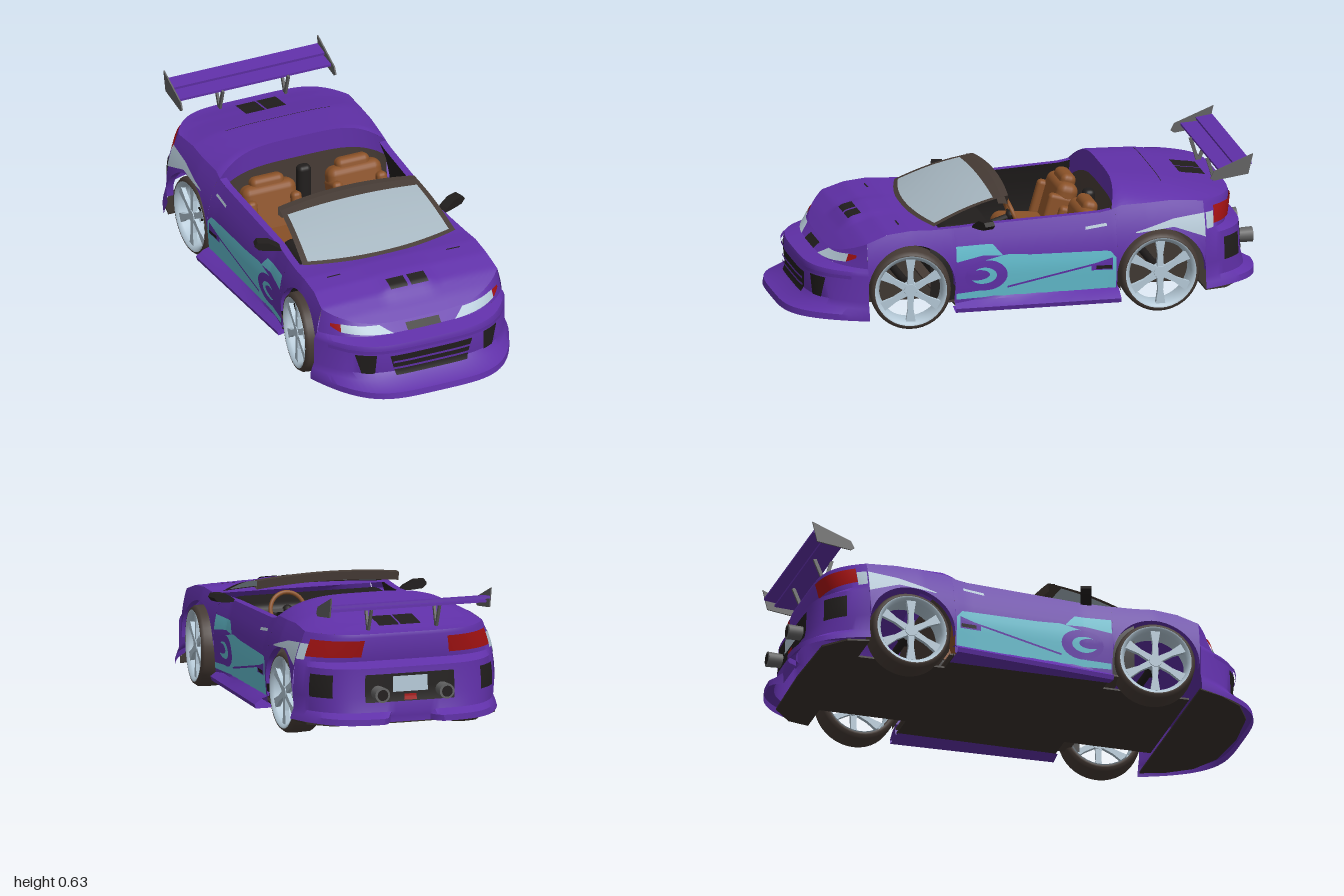
import * as THREE from 'three';
import { toCreasedNormals } from 'three/addons/utils/BufferGeometryUtils.js';
import { RoundedBoxGeometry } from 'three/addons/geometries/RoundedBoxGeometry.js';

const paint = (name, color) => new THREE.MeshStandardMaterial({ name, color, side: THREE.DoubleSide });
const lerp = THREE.MathUtils.lerp;
const points = list => list.map(p => new THREE.Vector2(...p));

// Linear lookup in a table of [t, value], t ascending
function tab(p, t) {
  if (t <= p[0][0]) return p[0][1];
  for (let i = 1; i < p.length; i++) {
    if (t <= p[i][0]) return lerp(p[i - 1][1], p[i][1], (t - p[i - 1][0]) / (p[i][0] - p[i - 1][0]));
  }
  return p[p.length - 1][1];
}

// Body rules: half width, shoulder height and side curve
const ARCH = 0.185, AXLE_Y = 0.17, FRONT = 0.505, REAR = -0.545;
const widths = [[-0.73, 0.44], [-0.5, 0.438], [-0.3, 0.42], [0.2, 0.402], [0.5, 0.425], [0.69, 0.42]];
const shoulders = [[-0.73, 0.455], [-0.6, 0.465], [-0.385, 0.455], [-0.345, 0.44], [-0.3, 0.432], [0, 0.42], [0.3, 0.408],
  [0.42, 0.408], [0.5, 0.413], [0.6, 0.403], [0.69, 0.372], [0.75, 0.333], [0.8, 0.293], [0.82, 0.28]];
const upper = z => tab(shoulders, z);
const sideX = (z, y) => tab(widths, z) - Math.max(0, y - 0.22) ** 2 - 0.08 * Math.max(0, 0.22 - y);
const edge = z => sideX(z, upper(z));
const spread = u => Math.sin((u - 0.5) * Math.PI);

// Bumper rules: half width and centre depth by height
const noseW = [[0.055, 0.447], [0.08, 0.447], [0.105, 0.44], [0.13, 0.43], [0.24, 0.43], [0.255, 0.425], [0.27, 0.415]];
const noseZ = [[0.055, 1], [0.08, 0.995], [0.105, 0.92], [0.13, 0.9], [0.24, 0.91], [0.255, 0.905], [0.27, 0.835]];
const tailZ = [[0.095, -0.99], [0.12, -0.99], [0.14, -0.945], [0.2, -0.93], [0.32, -0.925], [0.34, -0.865], [0.44, -0.885], [0.455, -0.88]];
const nose = (u, y) => [u * tab(noseW, y), y, 0.69 + (tab(noseZ, y) - 0.69) * (1 - Math.abs(u) ** 4)];
const tail = (u, y) => {
  const notch = tab([[0.2, 0.05], [0.26, 0]], Math.abs(u)) * tab([[0.12, 1], [0.14, 0]], y);
  return [u * (sideX(-0.73, y) + tab([[0.1, 0.02], [0.14, 0]], y)), y,
    -0.73 + (tab(tailZ, y) + 0.73) * (1 - Math.abs(u) ** 5) + notch];
};
const hoodY = (x, z) => {
  const u = Math.min(1, Math.abs(x) / edge(z));
  const scoop = tab([[0.09, 1], [0.13, 0]], Math.abs(x)) * tab([[0.44, 0], [0.6, 0.4], [0.68, 1], [0.74, 0]], z);
  return upper(z) + tab([[0.4, 0], [0.6, 0.008]], z) * (1 - u * u) + 0.014 * scoop;
};
const crown = [[-0.88, 0], [-0.78, 0.022], [-0.6, 0.045], [-0.385, 0.075]];
const deckY = (x, z) => upper(z) + tab(crown, z) * (1 - Math.min(1, Math.abs(x) / edge(z)) ** 4);
const deckFront = u => -0.345 - 0.04 * (1 - u ** 4);

export function createModel() {
  const car = new THREE.Group();
  car.name = 'convertible';
  const purple = paint('purple paint', 0x6030a8), teal = paint('teal paint', 0x62bccd);
  const black = paint('black trim', 0x211e1d), brown = paint('dark rubber', 0x463b35), under = paint('underbody', 0x38312c);
  const tan = paint('tan leather', 0x8b5228), red = paint('red lens', 0xa31212);
  const gray = paint('grey metal', 0x626262), silver = paint('silver', 0xb4c8d6), glass = paint('glass', 0xa6b6c0);

  const add = (name, geo, mat, pos = [0, 0, 0], rot = [0, 0, 0], parent = car) => {
    const m = new THREE.Mesh(geo, mat);
    m.name = name;
    m.position.set(...pos);
    m.rotation.set(...rot);
    parent.add(m);
    return m;
  };
  const box = (name, mat, size, pos, rot) => add(name, new THREE.BoxGeometry(...size), mat, pos, rot);
  const soft = (name, mat, size, pos, rot) =>
    add(name, new RoundedBoxGeometry(...size, 3, Math.min(...size) * 0.4), mat, pos, rot);
  const slab = (list, depth) => new THREE.ExtrudeGeometry(new THREE.Shape(points(list)), { depth, bevelEnabled: false });
  // Surface from a rule fn(u, v) -> [x, y, z]
  const grid = (name, mat, fn, nu = 8, nv = 4) => {
    const p = [], idx = [];
    for (let j = 0; j <= nv; j++) for (let i = 0; i <= nu; i++) p.push(...fn(i / nu, j / nv));
    for (let j = 0; j < nv; j++) for (let i = 0; i < nu; i++) {
      const a = j * (nu + 1) + i, b = a + nu + 1;
      idx.push(a, a + 1, b, b, a + 1, b + 1);
    }
    const g = new THREE.BufferGeometry();
    g.setAttribute('position', new THREE.Float32BufferAttribute(p, 3));
    g.setIndex(idx);
    return add(name, toCreasedNormals(g, 0.6), mat);
  };
  const both = (name, mat, fn, nu, nv) => {
    for (const s of [1, -1]) {
      grid((s > 0 ? 'left ' : 'right ') + name, mat, (u, v) => { const q = fn(u, v); q[0] *= s; return q; }, nu, nv);
    }
  };
  const skin = (name, mat, zAt, lo, hi, off = 0, nu = 24, nv = 6) => both(name, mat, (u, v) => {
    const z = zAt(u), y = lerp(lo(z), hi(z), v);
    return [sideX(z, y) + off, y, z];
  }, nu, nv);
  const span = (a, b) => u => lerp(a, b, u);

  // Body sides with open wheel arches
  for (const [name, zc] of [['front fender', FRONT], ['rear fender', REAR]]) {
    const zAt = u => zc + ARCH * Math.cos(u * Math.PI);
    const lo = z => AXLE_Y + Math.sqrt(Math.max(0, ARCH ** 2 - (z - zc) ** 2));
    skin(name, purple, zAt, lo, upper, 0, 36);
    both(name + ' lip', purple, (u, v) => [sideX(zAt(u), lo(zAt(u))) - 0.03 * v, lo(zAt(u)), zAt(u)], 28, 1);
  }
  skin('door', purple, span(0.32, -0.36), () => 0.09, upper, 0, 34);
  both('door top', purple, (u, v) => { const z = lerp(0.42, -0.345, u); return [edge(z) - 0.03 * v, upper(z), z]; }, 30, 1);
  both('door lining', black, (u, v) => {
    const z = lerp(0.42, -0.345, u), y = lerp(0.1, upper(z), v);
    return [sideX(z, y) - 0.03, y, z];
  }, 30, 4);

  // Painted side graphics
  const flat = p => z => tab(p, z);
  skin('teal panel', teal, span(0.21, -0.355), flat([[-0.355, 0.12], [0.12, 0.11], [0.21, 0.14]]),
    flat([[-0.355, 0.25], [-0.33, 0.28], [0, 0.283], [0.1, 0.29], [0.21, 0.265]]), 0.003);
  skin('lower teal flash', teal, span(0.315, 0.13), () => 0.11, flat([[0.13, 0.145], [0.315, 0.135]]), 0.003);
  skin('upper teal flash', teal, span(0.315, 0.12), flat([[0.12, 0.285], [0.2, 0.29], [0.315, 0.27]]),
    flat([[0.12, 0.29], [0.16, 0.335], [0.315, 0.335]]), 0.003);
  const oval = (name, mat, zc, yc, rz, ry, off) => {
    const h = z => ry * Math.sqrt(Math.max(0, 1 - ((z - zc) / rz) ** 2));
    skin(name, mat, u => zc + rz * Math.cos(u * Math.PI), z => yc - h(z), z => yc + h(z), off, 20, 4);
  };
  oval('swirl', purple, 0.19, 0.205, 0.09, 0.065, 0.005);
  oval('swirl centre', teal, 0.2, 0.205, 0.055, 0.035, 0.007);
  oval('swirl core', purple, 0.225, 0.21, 0.05, 0.022, 0.009);
  const sweep = z => lerp(0.15, 0.24, (0.1 - z) / 0.43);
  skin('sweep line', purple, span(0.1, -0.33), z => sweep(z) - 0.004, z => sweep(z) + 0.004, 0.005, 16, 1);
  skin('side vent', purple, span(-0.25, -0.34), () => 0.2, z => 0.225 - (z + 0.25) * 0.3, 0.005, 4, 1);
  skin('side vent slit', black, span(-0.27, -0.335), () => 0.205, () => 0.22, 0.007, 4, 1);
  skin('door handle', silver, span(-0.23, -0.32), z => 0.37 - (z + 0.23) * 0.12, z => 0.382 - (z + 0.23) * 0.12, 0.008, 4, 1);
  skin('quarter flash', silver, span(-0.44, -0.73), flat([[-0.73, 0.315], [-0.6, 0.362], [-0.44, 0.345]]),
    flat([[-0.73, 0.41], [-0.6, 0.395], [-0.44, 0.35]]), 0.003);

  // Side skirts, flaring to the rear
  both('side skirt', purple, (u, v) => {
    const z = lerp(0.32, -0.365, u), x = lerp(0.425, 0.475, u), kick = 0.012 * u;
    const s = [[0.395, 0.125], [x - 0.035, 0.1 + kick], [x, 0.076 + kick], [x - 0.006, 0.058 + kick], [0.36, 0.07]][Math.round(v * 4)];
    return [s[0], s[1], z];
  }, 8, 4);

  // Hood, nose face and front bumper
  const hoodPoint = (u, v) => {
    const z = lerp(0.38, 0.8 - 0.11 * Math.abs(u) ** 3.4, v), x = u * edge(z);
    return [x, hoodY(x, z), z];
  };
  grid('hood', purple, (u, v) => hoodPoint(spread(u), v), 48, 28);
  const facePoint = (u, v, off = 0) => {
    const a = hoodPoint(u, 1), b = nose(u, 0.27);
    return [lerp(a[0], b[0], v) * (1 + off), lerp(a[1], b[1], v), lerp(a[2], b[2], v) + off];
  };
  grid('nose', purple, (u, v) => facePoint(spread(u), v), 40, 3);
  both('headlight', silver, (u, v) => facePoint(lerp(0.33 + 0.12 * (1 - v), 0.83, u), lerp(0.05 + 0.25 * u, 0.95 - 0.2 * u, v), 0.006), 14, 3);
  both('front marker', red, (u, v) => facePoint(lerp(0.83, 0.92, u), lerp(0.3 + 0.1 * u, 0.75 - 0.22 * u, v), 0.007), 4, 2);
  grid('nose slot', black, (u, v) => facePoint(lerp(-0.18, 0.18, u), lerp(0.2, 0.95, v), 0.006), 8, 1);
  const noseRows = noseW.map(r => r[0]);
  grid('front bumper', purple, (u, v) => nose(spread(u), noseRows[Math.round(v * 6)]), 48, 6);
  const nosePatch = (fn, mat, name, half, y0, y1, off) => fn(name, mat, (u, v) => {
    const y = lerp(y0, y1, v), [a, b] = half(v), x = lerp(a, b, u), q = nose(x / tab(noseW, y), y);
    return [q[0], y, q[2] + off];
  }, 14, 4);
  nosePatch(grid, black, 'grille', v => [-0.16 - 0.025 * v, 0.16 + 0.025 * v], 0.117, 0.208, 0.005);
  for (const y of [0.145, 0.175]) nosePatch(grid, purple, 'grille slat', () => [-0.175, 0.175], y, y + 0.01, 0.012);
  nosePatch(both, black, 'brake duct', v => [0.245 - 0.005 * v, 0.295 + 0.025 * v], 0.13, 0.218, 0.006);
  nosePatch(grid, purple, 'bumper ridge', () => [-0.4, 0.4], 0.226, 0.24, 0.012);
  const topPatch = (name, surf, x0, x1, z0, z1) => both(name, black, (u, v) => {
    const x = lerp(x0, x1, u), z = lerp(z0, z1, v);
    return [x, surf(x, z) + 0.004, z];
  }, 6, 6);
  topPatch('hood vent', hoodY, 0.008, 0.085, 0.64, 0.695);
  topPatch('hood slit', hoodY, 0.24, 0.3, 0.53, 0.537);

  // Rear deck, tail and rear bumper
  grid('rear deck', purple, (a, v) => {
    const u = spread(a), z = lerp(deckFront(u), tail(u, 0.455)[2], v), x = u * edge(z);
    return [x, lerp(deckY(x, z), 0.455, v ** 6), z];
  }, 48, 24);
  topPatch('deck vent', deckY, 0.004, 0.09, -0.81, -0.7);
  topPatch('deck seam', deckY, 0, 0.24, -0.588, -0.585);
  const tailRows = tailZ.map(r => r[0]);
  grid('tail', purple, (u, v) => tail(spread(u), tailRows[Math.round(v * 7)]), 64, 7);
  const tailPatch = (fn, name, mat, u0, u1, y0, y1, off) => fn(name, mat, (u, v) => {
    const q = tail(lerp(u0, u1, u), lerp(y0, y1, v));
    return [q[0] * (1 + off), q[1], q[2] - off];
  }, 16, 4);
  tailPatch(both, 'tail light', red, 0.45, 0.945, 0.36, 0.43, 0.007);
  tailPatch(both, 'quarter flash end', silver, 0.945, 1, 0.345, 0.41, 0.006);
  tailPatch(both, 'rear duct', black, 0.73, 0.9, 0.2, 0.295, 0.006);
  tailPatch(grid, 'tail recess', black, -0.44, 0.44, 0.18, 0.295, 0.005);
  tailPatch(grid, 'plate', silver, -0.17, 0.17, 0.22, 0.285, 0.01);
  tailPatch(grid, 'fog light', red, -0.06, 0.06, 0.185, 0.21, 0.01);
  for (const s of [1, -1]) {
    add('exhaust', new THREE.CylinderGeometry(0.032, 0.028, 0.09, 20), gray, [s * 0.14, 0.22, -0.95], [-Math.PI / 2, 0, 0]);
    add('exhaust bore', new THREE.CircleGeometry(0.023, 20), black, [s * 0.14, 0.22, -0.997], [0, Math.PI, 0]);
  }

  // Rear wing
  box('wing blade', purple, [0.69, 0.01, 0.09], [0, 0.563, -0.855], [0.05, 0, 0]);
  box('wing flap', purple, [0.69, 0.011, 0.07], [0, 0.585, -0.91], [0.13, 0, 0]);
  const plate = slab([[0.77, 0.535], [0.785, 0.565], [0.95, 0.63], [0.93, 0.545], [0.785, 0.525]], 0.006);
  for (const s of [1, -1]) {
    add('wing end plate', plate, gray, [s * 0.347 - 0.003, 0, 0], [0, Math.PI / 2, 0]);
    box('wing strut', gray, [0.01, 0.1, 0.014], [s * 0.148, 0.513, -0.82], [0.3, 0, 0]);
    box('wing strut', gray, [0.01, 0.1, 0.014], [s * 0.148, 0.513, -0.86], [-0.4, 0, 0]);
  }

  // Windscreen and its frame
  const screen = (u, v) => [u * lerp(0.345, 0.308, v), lerp(0.412, 0.53 - 0.02 * u * u, v) + 0.012 * Math.sin(v * Math.PI),
    lerp(0.455 - 0.06 * u * u, 0.07 + 0.015 * u * u, v)];
  const pane = (name, mat, u0, u1, v0, v1) => grid(name, mat, (u, v) => screen(lerp(u0, u1, u), lerp(v0, v1, v)), 20, 8);
  pane('windscreen', glass, -0.93, 0.93, 0.05, 0.84);
  pane('screen header', brown, -1, 1, 0.84, 1);
  pane('screen base', brown, -1, 1, 0, 0.05);
  pane('screen pillar', brown, -1, -0.93, 0.05, 0.84);
  pane('screen pillar', brown, 0.93, 1, 0.05, 0.84);
  grid('header rail', brown, (u, v) => {
    const q = screen(2 * u - 1, 1);
    return [q[0], q[1] - [0, 0, 0.035, 0.03][Math.round(v * 3)], q[2] + [0.02, -0.012, -0.008, 0.03][Math.round(v * 3)]];
  }, 20, 3);

  // Mirrors, swept back
  for (const s of [1, -1]) {
    const blade = [[0, 0.403], [0.06, 0.408], [0.1, 0.414], [0.117, 0.432], [0.105, 0.448], [0.06, 0.445], [0.02, 0.422]];
    add('mirror', slab(blade.map(([x, y]) => [s * x, y]), 0.045), black, [s * 0.35, 0, 0.2], [0, s * 0.3, 0]);
  }

  // Cockpit
  const wall = (name, mat, v0, v1) => grid(name, mat, (u, t) => {
    const a = 2 * u - 1, v = lerp(v0, v1, t), z = deckFront(a), x = a * edge(z);
    return [lerp(a * 0.4, x, v), lerp(0.1, deckY(x, z), v), lerp(-0.38, z - 0.002, v)];
  }, 20, 6);
  wall('bulkhead', brown, 0, 0.78);
  wall('deck return', purple, 0.78, 1);
  box('carpet', brown, [0.76, 0.008, 0.74], [0, 0.097, 0]);
  soft('dashboard', black, [0.66, 0.11, 0.24], [0, 0.345, 0.25]);
  box('footwell', black, [0.72, 0.22, 0.02], [0, 0.21, 0.315]);
  soft('tunnel', black, [0.065, 0.15, 0.66], [0, 0.175, -0.04]);
  soft('tunnel tower', black, [0.06, 0.3, 0.05], [0, 0.27, -0.34]);
  add('gear lever', new THREE.CylinderGeometry(0.008, 0.008, 0.1, 10), black, [0, 0.28, 0.02]);
  for (const s of [1, -1]) {
    const x = s * 0.193;
    soft('seat cushion', tan, [0.25, 0.11, 0.28], [x, 0.2, -0.13], [-0.1, 0, 0]);
    soft('seat back', tan, [0.24, 0.25, 0.09], [x, 0.295, -0.25], [-0.28, 0, 0]);
    soft('headrest', tan, [0.15, 0.07, 0.065], [x, 0.41, -0.285], [-0.28, 0, 0]);
    for (const t of [1, -1]) soft('seat bolster', tan, [0.045, 0.19, 0.11], [x + t * 0.1, 0.28, -0.225], [-0.28, 0, 0]);
  }
  const helm = [0.35, 0, 0];
  add('steering wheel', new THREE.TorusGeometry(0.075, 0.009, 10, 32), tan, [0.19, 0.39, 0.03], helm);
  add('steering hub', new THREE.SphereGeometry(0.022, 12, 8), black, [0.19, 0.39, 0.035]);
  box('steering spoke', black, [0.14, 0.014, 0.008], [0.19, 0.39, 0.032], helm);
  add('steering column', new THREE.CylinderGeometry(0.014, 0.014, 0.13, 10), black, [0.19, 0.37, 0.09], [Math.PI / 2 + 0.3, 0, 0]);

  // Floor pan between the wheels and tray under the nose
  const pan = (name, half, y) => {
    const outline = [...half, ...half.slice(1, -1).reverse().map(([x, z]) => [-x, z])];
    add(name, slab(outline, 0.008), under, [0, y, 0], [Math.PI / 2, 0, 0]);
  };
  pan('floor pan', [[0, 0.69], [0.27, 0.69], [0.27, 0.32], [0.4, 0.32], [0.4, -0.36], [0.27, -0.36], [0.27, -0.73],
    [0.43, -0.73], [0.41, -0.82], [0.32, -0.9], [0, -0.91]], 0.092);
  pan('front tray', [[0, 0.975], [0.2, 0.955], [0.32, 0.89], [0.39, 0.79], [0.425, 0.69], [0, 0.69]], 0.07);

  // Wheels, the front pair turned
  const tyre = points([[0.143, -0.056], [0.155, -0.06], [0.166, -0.045], [0.168, 0], [0.166, 0.045], [0.155, 0.06], [0.143, 0.057]]);
  const rim = points([[0.138, -0.055], [0.126, 0], [0.13, 0.045], [0.142, 0.059], [0.149, 0.061]]);
  for (const s of [1, -1]) for (const z of [FRONT, REAR]) {
    const w = new THREE.Group();
    w.name = z > 0 ? 'front wheel' : 'rear wheel';
    w.position.set(s * (z > 0 ? 0.372 : 0.36), 0.168, z);
    w.rotation.y = (s > 0 ? 0 : Math.PI) + (z > 0 ? -0.13 : 0);
    car.add(w);
    const turn = [0, 0, -Math.PI / 2];
    add('tyre', new THREE.LatheGeometry(tyre, 40), brown, [0, 0, 0], turn, w);
    add('rim', new THREE.LatheGeometry(rim, 40), silver, [0, 0, 0], turn, w);
    add('hub', new THREE.CylinderGeometry(0.026, 0.034, 0.03, 18), silver, [0.038, 0, 0], turn, w);
    add('hub carrier', new THREE.CylinderGeometry(0.03, 0.03, 0.06, 18), black, [-0.02, 0, 0], turn, w);
    const spoke = slab([[-0.014, 0.015], [-0.011, 0.075], [-0.02, 0.133], [0.02, 0.133], [0.011, 0.075], [0.014, 0.015]], 0.018)
      .rotateY(Math.PI / 2);
    for (let i = 0; i < 6; i++) add('spoke', spoke, silver, [0.032, 0, 0], [i * Math.PI / 3, 0, 0], w);
  }
  for (const z of [FRONT, REAR]) {
    add('axle', new THREE.CylinderGeometry(0.016, 0.016, 0.66, 10), black, [0, 0.168, z], [0, 0, Math.PI / 2]);
  }
  return car;
}
